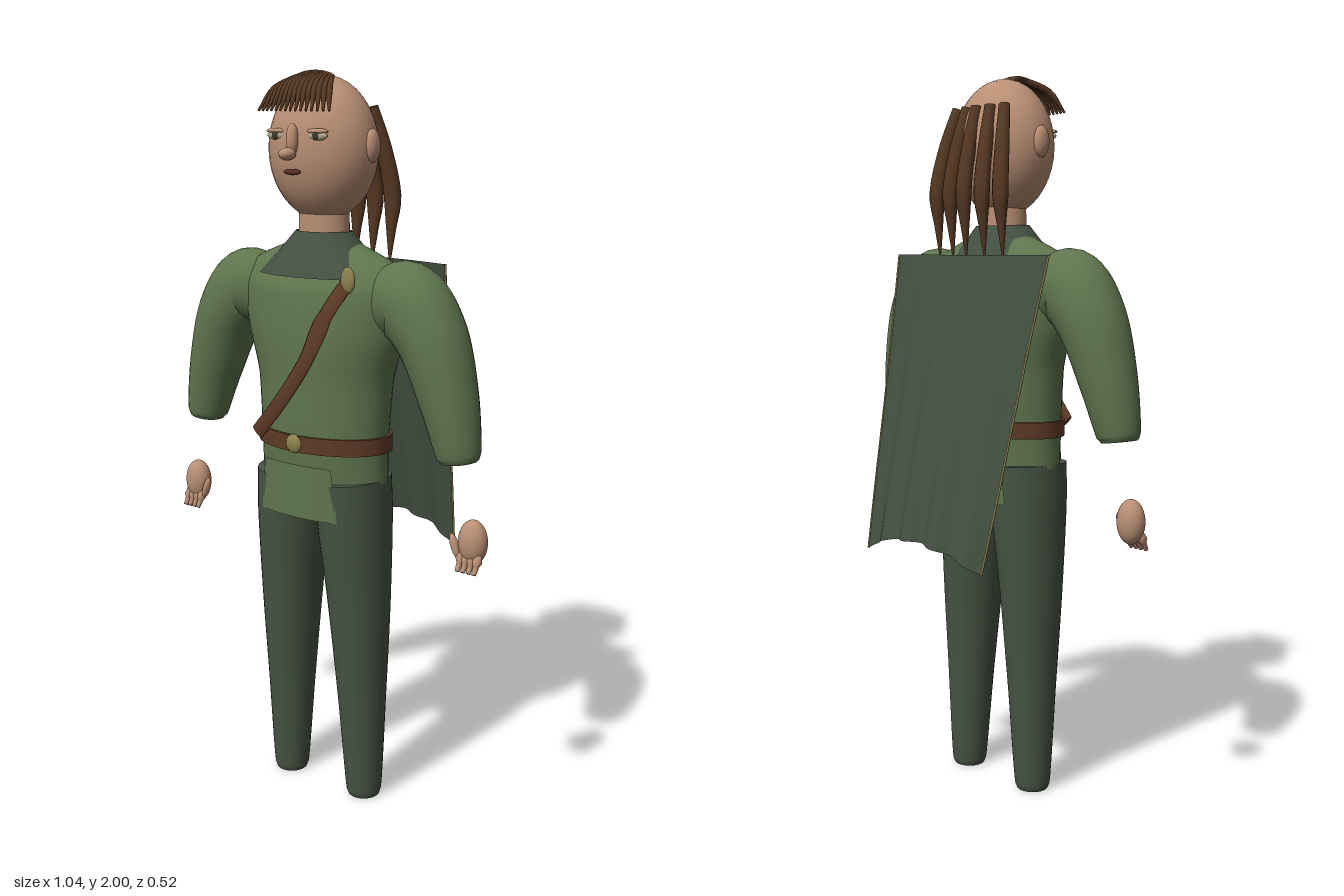
import * as THREE from 'three';

const mat = (name, color, side = THREE.FrontSide) => {
  const m = new THREE.MeshStandardMaterial({ color, side });
  m.name = name;
  return m;
};

// Smooth swept body through stations [x, y, z, widthRadius, depthRadius]
function sweep(stations, { steps = 24, sides = 32, caps = true } = {}) {
  const path = new THREE.CatmullRomCurve3(stations.map(s => new THREE.Vector3(s[0], s[1], s[2])));
  const radii = new THREE.CatmullRomCurve3(stations.map(s => new THREE.Vector3(s[3], s[4], 0)));
  const pos = [], index = [], forward = new THREE.Vector3(0, 0, 1);
  const rings = [];
  for (let i = 0; i <= steps; i++) {
    const t = i / steps, c = path.getPoint(t), r = radii.getPoint(t), dir = path.getTangent(t);
    const a = dir.clone().cross(forward).normalize(), b = a.clone().cross(dir);
    const ring = [];
    for (let j = 0; j < sides; j++) {
      const q = j / sides * Math.PI * 2;
      ring.push(c.clone().addScaledVector(a, Math.cos(q) * r.x).addScaledVector(b, Math.sin(q) * r.y));
    }
    rings.push({ c, ring });
    ring.forEach(p => pos.push(p.x, p.y, p.z));
  }
  for (let i = 0; i < steps; i++) for (let j = 0; j < sides; j++) {
    const k = (j + 1) % sides, p = i * sides + j, n = i * sides + k;
    index.push(p, p + sides, n, n, p + sides, n + sides);
  }
  if (caps) [rings[0], rings[steps]].forEach(({ c, ring }, end) => {
    const base = pos.length / 3;
    [c, ...ring].forEach(p => pos.push(p.x, p.y, p.z));
    for (let j = 0; j < sides; j++) {
      const p = base + 1 + j, n = base + 1 + (j + 1) % sides;
      index.push(base, end ? n : p, end ? p : n);
    }
  });
  const g = new THREE.BufferGeometry();
  g.setAttribute('position', new THREE.Float32BufferAttribute(pos, 3));
  g.setIndex(index);
  g.computeVertexNormals();
  return g;
}

// Grid sheet whose points follow f(u, v), u in -1..1 and v in 0..1 downward
function sheet(nu, nv, f) {
  const g = new THREE.PlaneGeometry(2, 1, nu, nv), p = g.attributes.position;
  for (let i = 0; i < p.count; i++) p.setXYZ(i, ...f(p.getX(i), 0.5 - p.getY(i)));
  g.computeVertexNormals();
  return g;
}

export function createModel() {
  const model = new THREE.Group();
  model.name = 'cloakedFigure';
  const skin = mat('skin', 0xb98f74);
  const tunic = mat('tunicGreen', 0x5f754e, THREE.DoubleSide);
  const trousers = mat('trouserGreen', 0x475344);
  const cloak = mat('cloakGreen', 0x445142, THREE.DoubleSide);
  const leather = mat('leather', 0x5e3a26);
  const hair = mat('hairBrown', 0x553822);
  const brass = mat('brass', 0x8c8250);
  const lips = mat('lips', 0x5a2c26);
  const eyeWhite = mat('eyeWhite', 0xb5a98f);
  const iris = mat('iris', 0x3a3a30);

  const add = (name, geo, material, parent = model) => {
    const m = new THREE.Mesh(geo, material);
    m.name = name;
    parent.add(m);
    return m;
  };
  const ball = (name, material, [x, y, z], [rx, ry, rz], parent = model) => {
    const m = add(name, new THREE.SphereGeometry(1, 32, 20), material, parent);
    m.position.set(x, y, z);
    m.scale.set(rx, ry, rz);
    return m;
  };

  // Head and face
  ball('head', skin, [0, 1.8, 0.092], [0.155, 0.185, 0.123]);
  add('neck', sweep([[0, 1.5, 0.09, 0.075, 0.06], [0, 1.66, 0.09, 0.07, 0.058]]), skin);
  ball('noseBridge', skin, [0, 1.825, 0.218], [0.016, 0.04, 0.016]);
  ball('noseTip', skin, [0, 1.79, 0.238], [0.02, 0.016, 0.025]);
  ball('mouth', lips, [0, 1.745, 0.219], [0.028, 0.008, 0.007]);

  // Torso, skirt flaps, collar and belt
  add('torso', sweep([
    [0, 0.93, 0.09, 0.198, 0.117], [0, 1.04, 0.09, 0.196, 0.127], [0, 1.2, 0.087, 0.207, 0.13],
    [0, 1.33, 0.087, 0.245, 0.13], [0, 1.44, 0.086, 0.265, 0.118], [0, 1.51, 0.086, 0.225, 0.086],
    [0, 1.565, 0.088, 0.09, 0.06]], { steps: 36, sides: 48 }), tunic);
  for (const s of [1, -1]) {
    add(s > 0 ? 'frontFlap' : 'backFlap', sheet(16, 4, (u, v) => {
      const x = u * (0.113 + 0.017 * v) * s;
      return [x, 0.98 - 0.147 * v, 0.09 + s * 0.133 * Math.sqrt(1 - (x / 0.26) ** 2)];
    }), tunic);
  }
  add('collar', sweep([[0, 1.475, 0.093, 0.195, 0.128], [0, 1.535, 0.091, 0.13, 0.1],
    [0, 1.59, 0.09, 0.078, 0.07]], { sides: 48, caps: false }), cloak);
  add('belt', sweep([[0, 1.015, 0.09, 0.206, 0.135], [0, 1.06, 0.09, 0.206, 0.135]],
    { steps: 2, sides: 48 }), leather);
  ball('buckle', brass, [0, 1.037, 0.222], [0.026, 0.026, 0.012]);

  // Baldric
  add('baldric', sweep([[0.155, 1.48, 0.185, 0.02, 0.005], [0.1, 1.385, 0.214, 0.021, 0.005],
    [0.04, 1.26, 0.225, 0.021, 0.005], [-0.05, 1.14, 0.224, 0.021, 0.005],
    [-0.14, 1.045, 0.21, 0.021, 0.005]], { sides: 12 }), leather);
  ball('baldricClasp', brass, [0.155, 1.48, 0.19], [0.022, 0.034, 0.01]);

  // Mirrored parts
  for (const s of [1, -1]) {
    const side = s > 0 ? 'left' : 'right';
    ball(side + 'Ear', skin, [s * 0.153, 1.81, 0.085], [0.017, 0.042, 0.025]);
    ball(side + 'Eye', eyeWhite, [s * 0.066, 1.835, 0.199], [0.031, 0.012, 0.01]);
    ball(side + 'Iris', iris, [s * 0.066, 1.835, 0.207], [0.01, 0.01, 0.004]);
    ball(side + 'Eyelid', skin, [s * 0.066, 1.846, 0.199], [0.034, 0.007, 0.012]);

    add(side + 'Sleeve', sweep([
      [s * 0.19, 1.4, 0.085, 0.08, 0.07], [s * 0.265, 1.42, 0.085, 0.108, 0.09],
      [s * 0.335, 1.35, 0.085, 0.096, 0.093], [s * 0.398, 1.19, 0.088, 0.078, 0.078],
      [s * 0.434, 1.045, 0.092, 0.058, 0.057], [s * 0.436, 1.03, 0.092, 0.048, 0.048]],
      { steps: 40 }), tunic);

    add(side + 'Leg', sweep([
      [s * 0.133, 0, 0.085, 0.044, 0.044], [s * 0.133, 0.015, 0.085, 0.049, 0.05],
      [s * 0.127, 0.3, 0.087, 0.067, 0.07], [s * 0.118, 0.6, 0.09, 0.085, 0.095],
      [s * 0.104, 0.85, 0.093, 0.098, 0.116], [s * 0.1, 0.935, 0.094, 0.097, 0.118]],
      { steps: 36 }), trousers);

    // Hand with four fingers and an inward thumb
    const hand = new THREE.Group();
    hand.name = side + 'Hand';
    model.add(hand);
    ball('palm', skin, [s * 0.482, 0.825, 0.09], [0.04, 0.06, 0.034], hand);
    for (let i = 0; i < 4; i++) {
      const x = s * (0.457 + i * 0.0165);
      add('finger', sweep([[x, 0.8, 0.1, 0.008, 0.008], [x, 0.77, 0.112, 0.008, 0.008],
        [x, 0.75, 0.124, 0.006, 0.006]], { steps: 6, sides: 10 }), skin, hand);
    }
    const thumb = ball('thumb', skin, [s * 0.437, 0.81, 0.105], [0.011, 0.034, 0.012], hand);
    thumb.rotation.z = s * 0.35;
  }

  // Fringe: fan of pointed strands
  const strands = 15;
  for (let i = 0; i < strands; i++) {
    const u = i / (strands - 1) * 2 - 1, drop = 0.012 * u * u;
    add('fringeStrand', sweep([
      [u * 0.054, 1.99 - drop, 0.125, 0.009, 0.007], [u * 0.088, 1.963 - drop, 0.19 - drop, 0.01, 0.008],
      [u * 0.115, 1.895, 0.226 - drop, 0.003, 0.003]], { steps: 8, sides: 8 }), hair);
  }

  // Long locks at the back
  for (let i = -2; i <= 2; i++) {
    const e = Math.abs(i) * 0.008;
    add('backLock', sweep([
      [i * 0.046, 1.905, -0.01 + e, 0.017, 0.014], [i * 0.056, 1.8, -0.037 + e, 0.022, 0.018],
      [i * 0.063, 1.68, -0.057 + e, 0.025, 0.019], [i * 0.063, 1.59, -0.052 + e, 0.014, 0.011],
      [i * 0.063, 1.51, -0.047 + e, 0.003, 0.003]], { steps: 16, sides: 12 }), hair);
  }

  // Cape hanging away from the back, with folds growing downward
  const capePoint = (u, v) => {
    const x = u * (0.3 - 0.07 * v);
    const fold = 0.011 * v * Math.cos((x - 0.025) * 2 * Math.PI / 0.106) * (1 - 0.5 * u * u);
    return [x, 1.51 - v * (0.765 + 0.06 * u * u), -0.075 + 0.04 * u * u - 0.175 * v - fold];
  };
  add('cape', sheet(64, 16, capePoint), cloak);
  for (const s of [1, -1]) {
    const edge = [0, 0.25, 0.5, 0.75, 1].map(v => [...capePoint(s, v), 0.003, 0.003]);
    add('capeTrim', sweep(edge, { steps: 12, sides: 8 }), brass);
  }
  return model;
}
